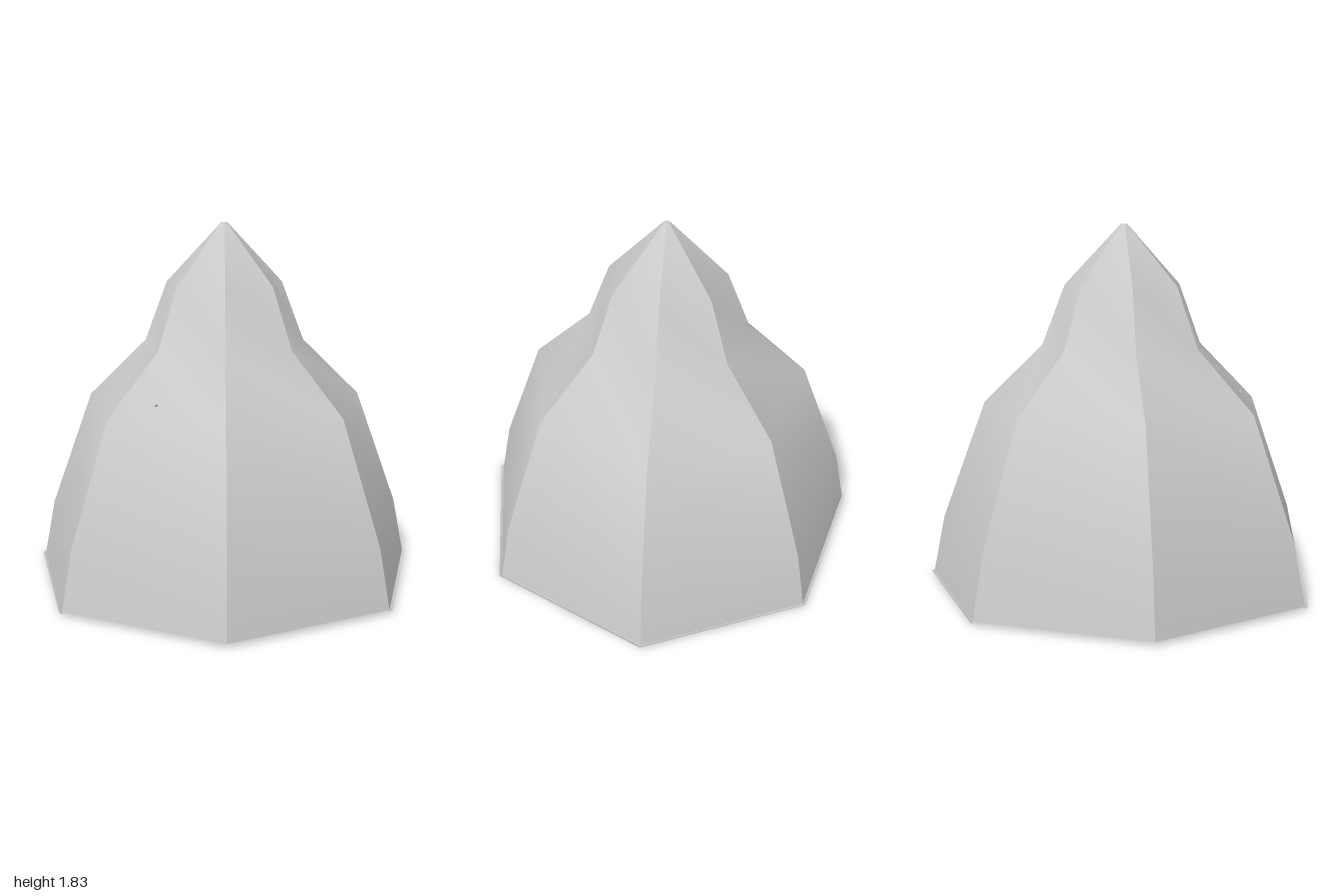
import * as THREE from 'three';
import { toCreasedNormals } from 'three/addons/utils/BufferGeometryUtils.js';

const SIDES = 7;
const CENTRE_X = -0.05;

export function createModel() {
  const group = new THREE.Group();
  const grey = new THREE.MeshStandardMaterial({ color: 0xcccccc });

  const add = (name, geometry, x = 0, y = 0, z = 0) => {
    const mesh = new THREE.Mesh(geometry, grey);
    mesh.name = name;
    mesh.position.set(x, y, z);
    group.add(mesh);
    return mesh;
  };

  // Seven-sided surface swept from [radius, height] pairs, one corner on +x
  const sweep = (profile) => toCreasedNormals(
    new THREE.LatheGeometry(
      profile.map(([r, y]) => new THREE.Vector2(r, y)), SIDES, Math.PI / 2
    ).toNonIndexed(), 0.52);

  // Stepped body: smooth up each panel, sharp along the seven ridges
  add('body', sweep([
    [1.01, 0.012], [0.95, 0.31], [0.725, 0.92], [0.42, 1.22], [0.303, 1.525], [0.016, 1.83],
  ]), CENTRE_X);

  // Small flat tip
  add('tipCap', new THREE.CircleGeometry(0.016, SIDES).rotateX(-Math.PI / 2), CENTRE_X, 1.83);

  // Thin lip around the base, facing inward
  add('baseLip', sweep([[1.0255, 0.012], [1.005, 0]]), CENTRE_X);

  // Underside
  add('floor', new THREE.CircleGeometry(1.01, SIDES).rotateX(Math.PI / 2), CENTRE_X, 0.008);

  // Low faceted pads just breaking through the floor: [x, z, radius, turn]
  [[-0.45, -0.41, 0.165, 0.3], [0.51, -0.18, 0.17, 0.9], [-0.3, 0.47, 0.07, 0.5]].forEach(([x, z, r, turn]) => {
    const pad = new THREE.CylinderGeometry(r, r * 0.85, 0.012, 6);
    add('basePad', toCreasedNormals(pad, 0.3), x, 0.006, z).rotation.y = turn;
  });

  // Tiny point breaking through the front panel
  add('frontSpeck', new THREE.TetrahedronGeometry(0.012), 0, 1.0, 0.59);

  return group;
}
